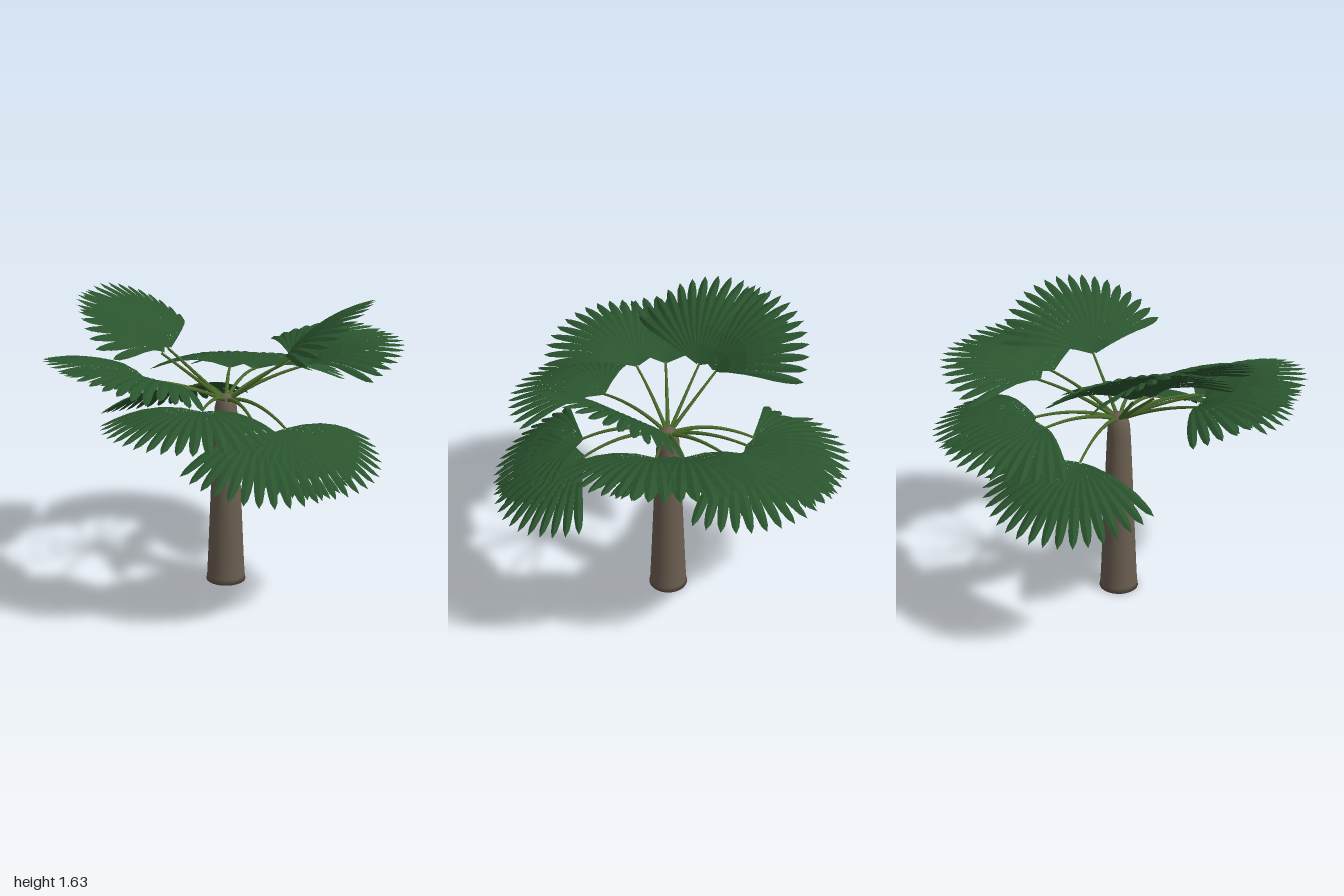
import * as THREE from 'three';

const rad = THREE.MathUtils.degToRad;

// Fan blade: pleated segments radiating from the hub, +x outward, y up.
function fanGeometry(segments = 18, halfAngle = rad(72), length = 0.56) {
  const step = (2 * halfAngle) / segments;
  const stations = [0.02, 0.2, 0.4, 0.58, 0.72, 0.84, 0.93, 1];
  const tipWidths = [0.78, 0.5, 0];
  const pos = [], idx = [];
  for (let k = 0; k < segments; k++) {
    const a = -halfAngle + (k + 0.5) * step;
    const len = length * (1 - 0.07 * (a / halfAngle) ** 2);
    const dx = Math.cos(a), dz = Math.sin(a), base = pos.length / 3;
    stations.forEach((s, j) => {
      const w = Math.tan(step / 2) * s * len * (j < 5 ? 1 : tipWidths[j - 5]);
      const h = length * (0.31 * s - 0.42 * s * s);   // rise, then droop
      for (const side of [-1, 0, 1]) {
        const fold = side === 0 ? 0 : (0.12 + 0.4 * s * s) * w;   // pleat, deeper at the tips
        pos.push(dx * s * len - dz * w * side, h - fold, dz * s * len + dx * w * side);
      }
      if (j === 0) return;
      const p = base + (j - 1) * 3, q = p + 3;
      for (const c of [0, 1]) {
        idx.push(p + c, p + c + 1, q + c, p + c + 1, q + c + 1, q + c);
      }
    });
  }
  const g = new THREE.BufferGeometry();
  g.setAttribute('position', new THREE.Float32BufferAttribute(pos, 3));
  g.setIndex(idx);
  g.computeVertexNormals();
  return g;
}

// Tapered stalk curving from the crown to the hub, in the x-y plane.
function stalkGeometry(tier) {
  const curve = new THREE.QuadraticBezierCurve3(
    new THREE.Vector3(0.015, 1.06, 0),
    new THREE.Vector3(tier.r * 0.5, tier.midY, 0),
    new THREE.Vector3(tier.r + 0.015, tier.y + 0.003, 0));
  const rings = 12, sides = 6;
  const g = new THREE.TubeGeometry(curve, rings, 0.012, sides);
  const p = g.attributes.position, v = new THREE.Vector3();
  for (let i = 0; i < p.count; i++) {
    const t = Math.floor(i / (sides + 1)) / rings;
    const c = curve.getPointAt(t);
    v.fromBufferAttribute(p, i).sub(c).multiplyScalar(1 - 0.45 * t).add(c);
    p.setXYZ(i, v.x, v.y, v.z);
  }
  return g;
}

export function createModel() {
  const bark = new THREE.MeshStandardMaterial({ name: 'bark', color: 0x6b5e50 });
  const stem = new THREE.MeshStandardMaterial({ name: 'stem green', color: 0x4a6b2a });
  const leaf = new THREE.MeshStandardMaterial({
    name: 'leaf green', color: 0x2a542e, side: THREE.DoubleSide, flatShading: true });

  const palm = new THREE.Group();
  palm.name = 'fanPalm';

  // Trunk with a slight foot flare and a rounded crown
  const profile = [
    [0, 0], [0.112, 0], [0.107, 0.03], [0.101, 0.15], [0.086, 0.5], [0.073, 0.8],
    [0.066, 0.95], [0.061, 1.02], [0.048, 1.07], [0.027, 1.09], [0, 1.095],
  ].map(([x, y]) => new THREE.Vector2(x, y));
  const trunk = new THREE.Mesh(new THREE.LatheGeometry(profile, 24), bark);
  trunk.name = 'trunk';
  palm.add(trunk);

  // Four frond tiers, repeated in turn around a golden-angle spiral
  const tiers = [
    { r: 0.457, y: 1.22, midY: 1.18, tilt: 20.5 },
    { r: 0.457, y: 1.12, midY: 1.16, tilt: 0.5 },
    { r: 0.462, y: 1.0, midY: 1.14, tilt: -18 },
    { r: 0.337, y: 1.31, midY: 1.18, tilt: 41.5 },
  ];
  const stalks = tiers.map(stalkGeometry);
  const fan = fanGeometry();
  const jitter = [0, 1.5, 0, -0.7, 2.4, 4, 3.3, -3.5, 0.8, 0, 0, -1.5, 0];

  jitter.forEach((offset, i) => {
    const tier = tiers[i % 4];
    const frond = new THREE.Group();
    frond.name = `frond${i + 1}`;
    const stalk = new THREE.Mesh(stalks[i % 4], stem);
    stalk.name = 'stalk';
    const blade = new THREE.Mesh(fan, leaf);
    blade.name = 'fanBlade';
    blade.position.set(tier.r, tier.y, 0);
    blade.rotation.z = rad(tier.tilt);
    frond.add(stalk, blade);
    frond.rotation.y = -rad(136 + 137.5 * i + offset);
    palm.add(frond);
  });

  palm.position.x = -0.007;
  return palm;
}
